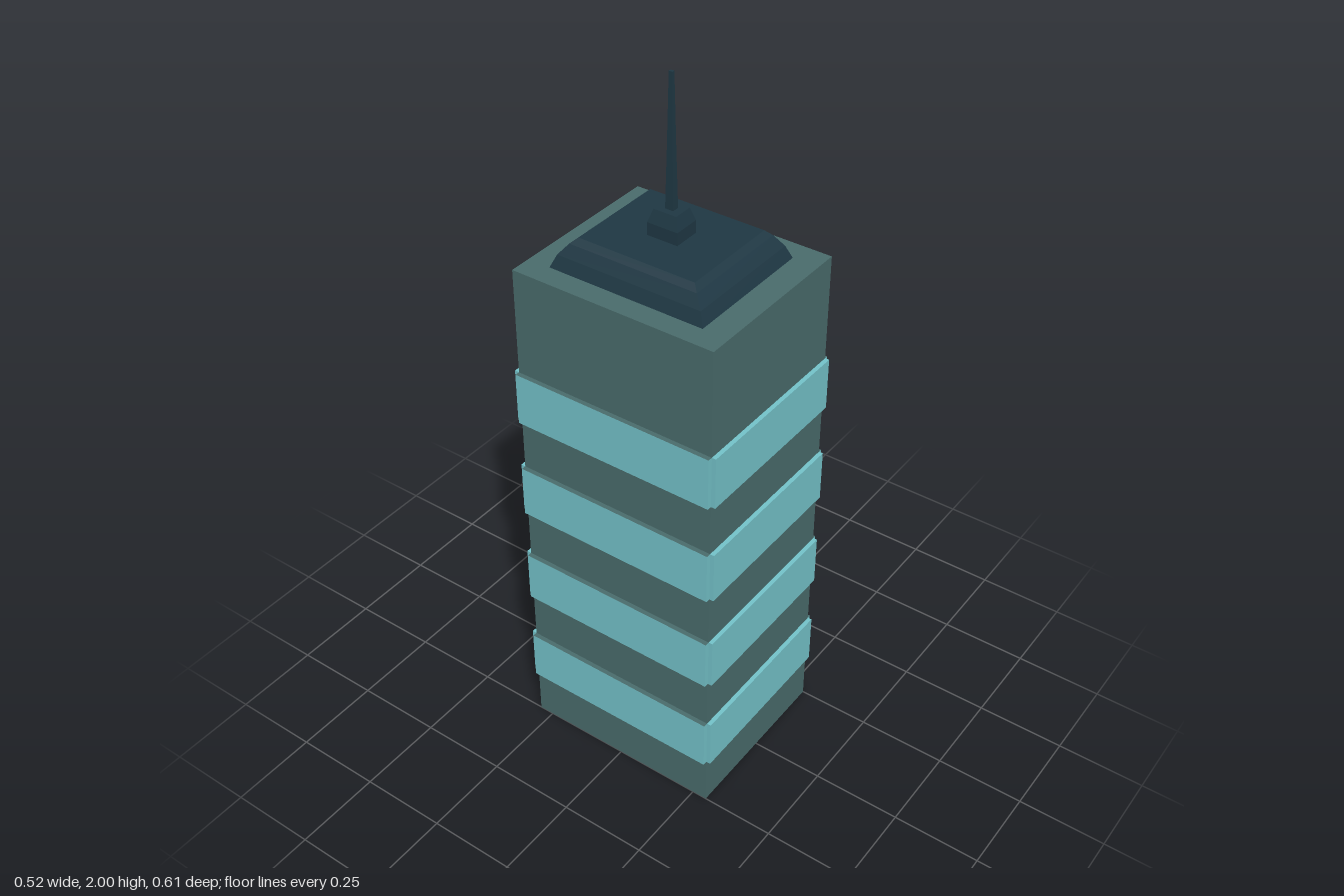
import * as THREE from 'three';

const mat = (color) => new THREE.MeshStandardMaterial({ color, flatShading: true });

// Box given by its min and max corners
function block(name, [x0, y0, z0], [x1, y1, z1], material) {
  const g = new THREE.BoxGeometry(x1 - x0, y1 - y0, z1 - z0);
  g.translate((x0 + x1) / 2, (y0 + y1) / 2, (z0 + z1) / 2);
  const m = new THREE.Mesh(g, material);
  m.name = name;
  return m;
}

// Stack of rectangular rings [y, halfX, halfZ], capped at both ends
function stack(name, rings, zc, material) {
  const pos = [];
  const corners = rings.map(([y, a, b]) => [
    [a, y, zc + b], [a, y, zc - b], [-a, y, zc - b], [-a, y, zc + b],
  ]);
  const quad = (a, b, c, d) => pos.push(...a, ...b, ...c, ...a, ...c, ...d);
  for (let i = 0; i < corners.length - 1; i++) {
    const lo = corners[i], hi = corners[i + 1];
    for (let k = 0; k < 4; k++) {
      const n = (k + 1) % 4;
      quad(lo[k], lo[n], hi[n], hi[k]);
    }
  }
  quad(...corners[corners.length - 1]);
  quad(...corners[0].slice().reverse());
  const g = new THREE.BufferGeometry();
  g.setAttribute('position', new THREE.Float32BufferAttribute(pos, 3));
  g.computeVertexNormals();
  const m = new THREE.Mesh(g, material);
  m.name = name;
  return m;
}

export function createModel() {
  const root = new THREE.Group();
  root.name = 'skyscraper';
  const wall = mat(0x4a6c6c), glass = mat(0x74c3ca), dark = mat(0x1f3844);
  const X = 0.25, Z = 0.293;

  // Main shaft
  root.add(block('tower', [-X, 0, -Z], [X, 1.5, Z], wall));

  // Window bands: one thin slab on each side per level
  const sideMats = [glass, glass, wall, wall, glass, glass]; // wall-coloured ledges
  for (let i = 0; i < 4; i++) {
    const y0 = 0.15 + i * 0.3, y1 = y0 + 0.15;
    const band = new THREE.Group();
    band.name = `windowBand${i + 1}`;
    band.add(
      block('frontWindows', [-X, y0, Z - 0.01], [X, y1, 0.305], glass),
      block('backWindows', [-X, y0, -0.306], [X, y1, -Z + 0.01], glass),
      block('leftWindows', [X - 0.01, y0, -Z], [0.26, y1, Z], sideMats),
      block('rightWindows', [-0.263, y0, -Z], [-X + 0.01, y1, Z], sideMats),
    );
    root.add(band);
  }

  // Rounded roof cap, antenna plinth and tapering mast
  const zc = -0.004;
  root.add(stack('roof', [
    [1.5, 0.189, 0.224], [1.535, 0.176, 0.209], [1.565, 0.158, 0.185], [1.58, 0.143, 0.169],
  ], zc, dark));
  root.add(stack('antennaBase', [
    [1.57, 0.038, 0.044], [1.615, 0.038, 0.044], [1.65, 0.027, 0.033],
  ], zc, dark));
  root.add(stack('antenna', [
    [1.64, 0.01, 0.012], [1.82, 0.007, 0.008], [2, 0.004, 0.005],
  ], zc, dark));

  return root;
}
